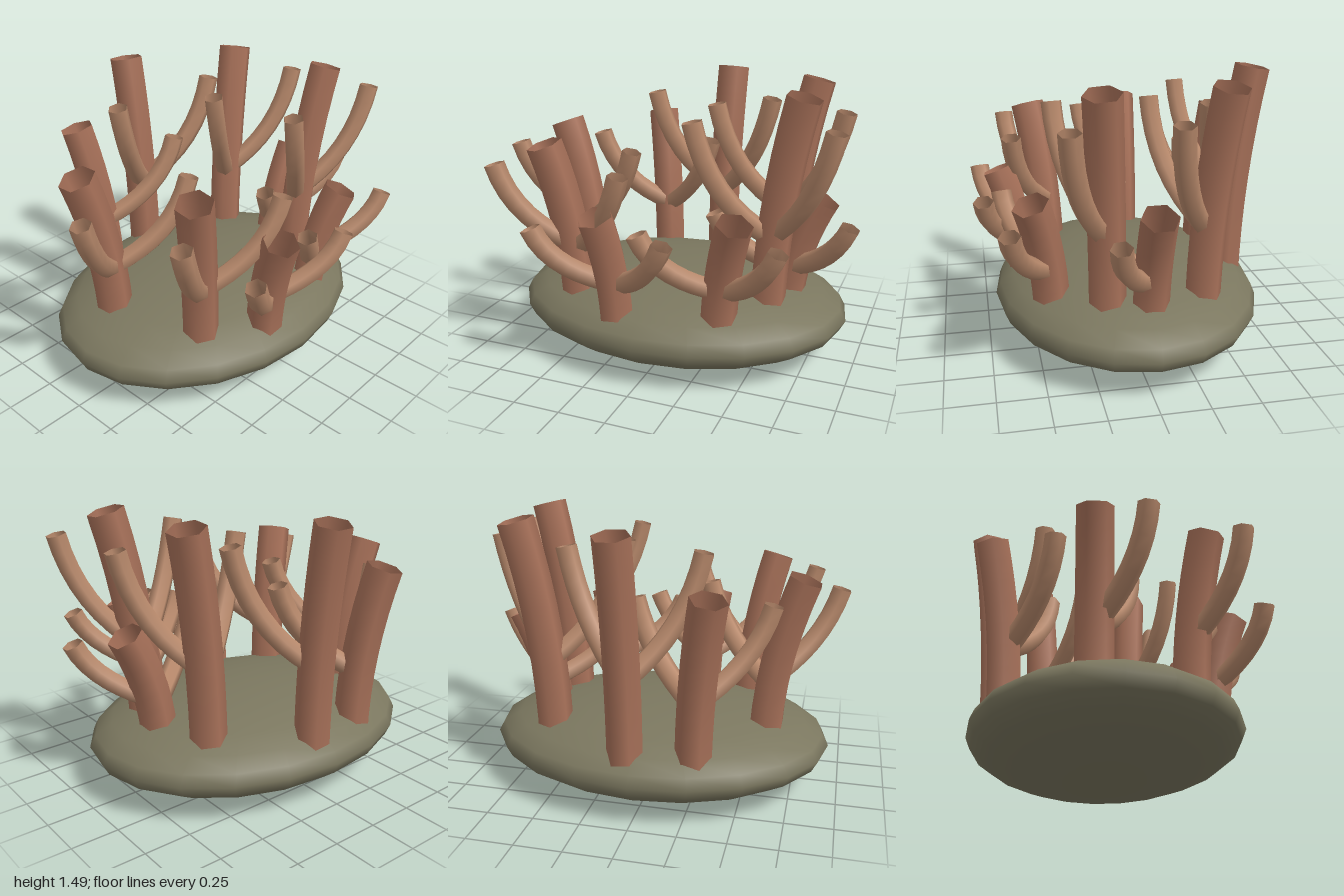
import * as THREE from 'three';

const rockMat = new THREE.MeshStandardMaterial({ color: 0x7b775f });
const trunkMat = new THREE.MeshStandardMaterial({ color: 0xa9725a, side: THREE.DoubleSide });
const branchMat = new THREE.MeshStandardMaterial({ color: 0xb98a6c, side: THREE.DoubleSide });

const GROUND = 0.25;

// Open six-sided tube bent along a three-point curve
function bentTube(name, a, b, c, radius, material) {
  const curve = new THREE.QuadraticBezierCurve3(a, b, c);
  const mesh = new THREE.Mesh(new THREE.TubeGeometry(curve, 8, radius, 6, false), material);
  mesh.name = name;
  return mesh;
}

// One coral stalk: an outward-leaning trunk with two upturned side branches
function createStalk(x, z, height) {
  const stalk = new THREE.Group();
  stalk.name = 'coralStalk';
  const base = new THREE.Vector3(x, GROUND, z);
  const middle = new THREE.Vector3(x, GROUND + height / 2, z);
  const top = new THREE.Vector3(x * 1.285, GROUND + height, z * 1.21 + 0.012);
  stalk.add(bentTube('trunk', base, middle, top, 0.095, trunkMat));

  const startY = GROUND + height * 0.4;
  const rise = height * 0.5;
  for (const side of [-1, 1]) {
    stalk.add(bentTube(
      side > 0 ? 'leftBranch' : 'rightBranch',
      new THREE.Vector3(x, startY, z),
      new THREE.Vector3(x + side * 0.265, startY + rise * 0.34, z + 0.2),
      new THREE.Vector3(x + side * 0.35, startY + rise, z + 0.22),
      0.054, branchMat));
  }
  return stalk;
}

export function createModel() {
  const model = new THREE.Group();
  model.name = 'coral';

  // Flattened rock
  const rock = new THREE.Mesh(new THREE.SphereGeometry(1, 20, 12), rockMat);
  rock.name = 'rock';
  rock.scale.set(0.94, 0.23, 0.725);
  rock.position.set(0, 0.235, -0.022);
  model.add(rock);

  // Ring of stalks in three heights: [x, z, height]
  const tall = 1.22, medium = 0.935, short = 0.65;
  const stalks = [
    [0.61, -0.04, short], [0.555, 0.17, tall], [0.37, 0.43, short],
    [-0.155, 0.53, short], [-0.455, 0.36, medium], [-0.605, -0.13, medium],
    [-0.29, -0.55, medium], [0.05, -0.6, tall], [0.51, -0.34, tall],
  ];
  for (const [x, z, height] of stalks) model.add(createStalk(x, z, height));

  return model;
}
